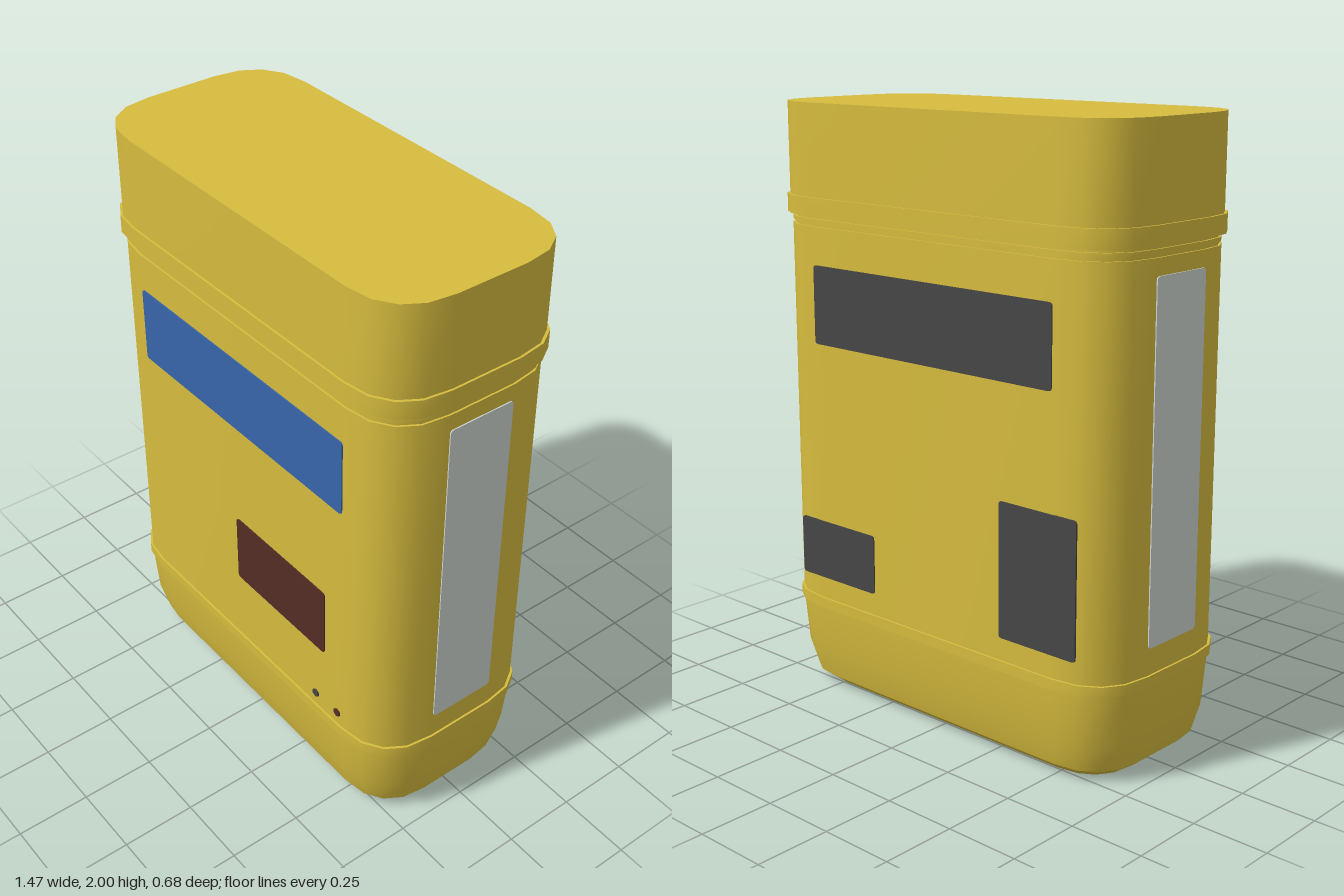
import * as THREE from 'three';
import { toCreasedNormals } from 'three/addons/utils/BufferGeometryUtils.js';

const HX = 0.73, HZ = 0.335, R = 0.21, SEG = 4;

// Rounded-rectangle outline, pulled in by an inset
function outline(inset) {
  const hx = HX - inset, hz = HZ - inset, r = R - Math.max(0, inset) * 0.5;
  const pts = [];
  const soft = v => Math.sign(v) * Math.pow(Math.abs(v), 0.85);
  for (let q = 0; q < 4; q++) {
    const sx = q === 0 || q === 3 ? 1 : -1, sz = q < 2 ? 1 : -1;
    for (let i = 0; i <= SEG; i++) {
      const a = (q + i / SEG) * Math.PI / 2;
      pts.push([sx * (hx - r) + r * soft(Math.cos(a)), sz * (hz - r) + r * soft(Math.sin(a))]);
    }
  }
  return pts;
}

// Closed loft through [height, inset] steps, listed bottom to top
function loft(profile) {
  const pos = [], idx = [], n = 4 * (SEG + 1), last = profile.length - 1;
  for (const [y, inset] of profile) for (const [x, z] of outline(inset)) pos.push(x, y, z);
  const bottom = pos.length / 3, top = bottom + 1;
  pos.push(0, profile[0][0], 0, 0, profile[last][0], 0);
  for (let i = 0; i < n; i++) {
    const j = (i + 1) % n;
    for (let k = 0; k < last; k++) {
      const a = k * n + i, b = k * n + j;
      idx.push(a, a + n, b, b, a + n, b + n);
    }
    idx.push(bottom, i, j, top, last * n + j, last * n + i);
  }
  const g = new THREE.BufferGeometry();
  g.setAttribute('position', new THREE.Float32BufferAttribute(pos, 3));
  g.setIndex(idx);
  return toCreasedNormals(g, 0.6);
}

// Thin plate with slightly rounded corners, facing +z
function plate(w, h) {
  const x = w / 2, y = h / 2, r = 0.012, s = new THREE.Shape();
  s.moveTo(-x + r, -y);
  s.lineTo(x - r, -y); s.quadraticCurveTo(x, -y, x, -y + r);
  s.lineTo(x, y - r); s.quadraticCurveTo(x, y, x - r, y);
  s.lineTo(-x + r, y); s.quadraticCurveTo(-x, y, -x, y - r);
  s.lineTo(-x, -y + r); s.quadraticCurveTo(-x, -y, -x + r, -y);
  return new THREE.ExtrudeGeometry(s, { depth: 0.006, bevelEnabled: false, curveSegments: 3 });
}

export function createModel() {
  const group = new THREE.Group();
  const material = (name, color) => {
    const m = new THREE.MeshStandardMaterial({ color });
    m.name = name;
    return m;
  };
  const yellow = material('yellow', 0xd6bc3e);
  const blue = material('blue', 0x3865aa);
  const brown = material('dark brown', 0x522d25);
  const pale = material('pale grey', 0xccd4cf);
  const dark = material('dark grey', 0x464646);
  const add = (name, geo, mat) => {
    const m = new THREE.Mesh(geo, mat);
    m.name = name;
    group.add(m);
    return m;
  };

  // Casing
  add('base', loft([[0, 0.09], [0.035, 0.046], [0.13, 0.022], [0.3, 0.01]]), yellow);
  add('lowerBand', loft([[0.3, 0.003], [0.335, 0.003]]), yellow);
  add('body', loft([[0.335, 0.01], [1.605, 0.01]]), yellow);
  add('groove', loft([[1.605, 0.016], [1.64, 0.016]]), yellow);
  add('neckBead', loft([[1.615, 0.01], [1.63, 0.01]]), yellow);
  add('lidLip', loft([[1.64, -0.003], [1.7, -0.003]]), yellow);
  add('lid', loft([[1.7, 0.004], [2, 0.004]]), yellow);

  // Front and back panels: name, x range, y range, material, side
  const face = HZ - 0.012;
  const panels = [
    ['frontLabel', -0.51, 0.51, 1.22, 1.48, blue, 1],
    ['frontWindow', -0.03, 0.43, 0.6, 0.85, brown, 1],
    ['backTopPanel', -0.51, 0.51, 1.22, 1.48, dark, -1],
    ['backSmallPanel', 0.25, 0.6, 0.41, 0.61, dark, -1],
    ['backTallPanel', -0.61, -0.305, 0.41, 0.85, dark, -1],
  ];
  for (const [name, x0, x1, y0, y1, mat, side] of panels) {
    const m = add(name, plate(x1 - x0, y1 - y0), mat);
    m.position.set((x0 + x1) / 2, (y0 + y1) / 2, side * face);
    if (side < 0) m.rotation.y = Math.PI;
  }

  // Side labels
  for (const side of [1, -1]) {
    const m = add(side > 0 ? 'leftLabel' : 'rightLabel', plate(0.235, 1.13), pale);
    m.position.set(side * (HX - 0.012), 0.987, 0);
    m.rotation.y = side * Math.PI / 2;
  }

  // Small indicator studs
  for (const [name, x, mat] of [['innerStud', 0.385, dark], ['outerStud', 0.495, brown]]) {
    const m = add(name, new THREE.CylinderGeometry(0.015, 0.015, 0.008, 6), mat);
    m.rotation.x = Math.PI / 2;
    m.position.set(x, 0.385, HZ - 0.009);
  }
  return group;
}
